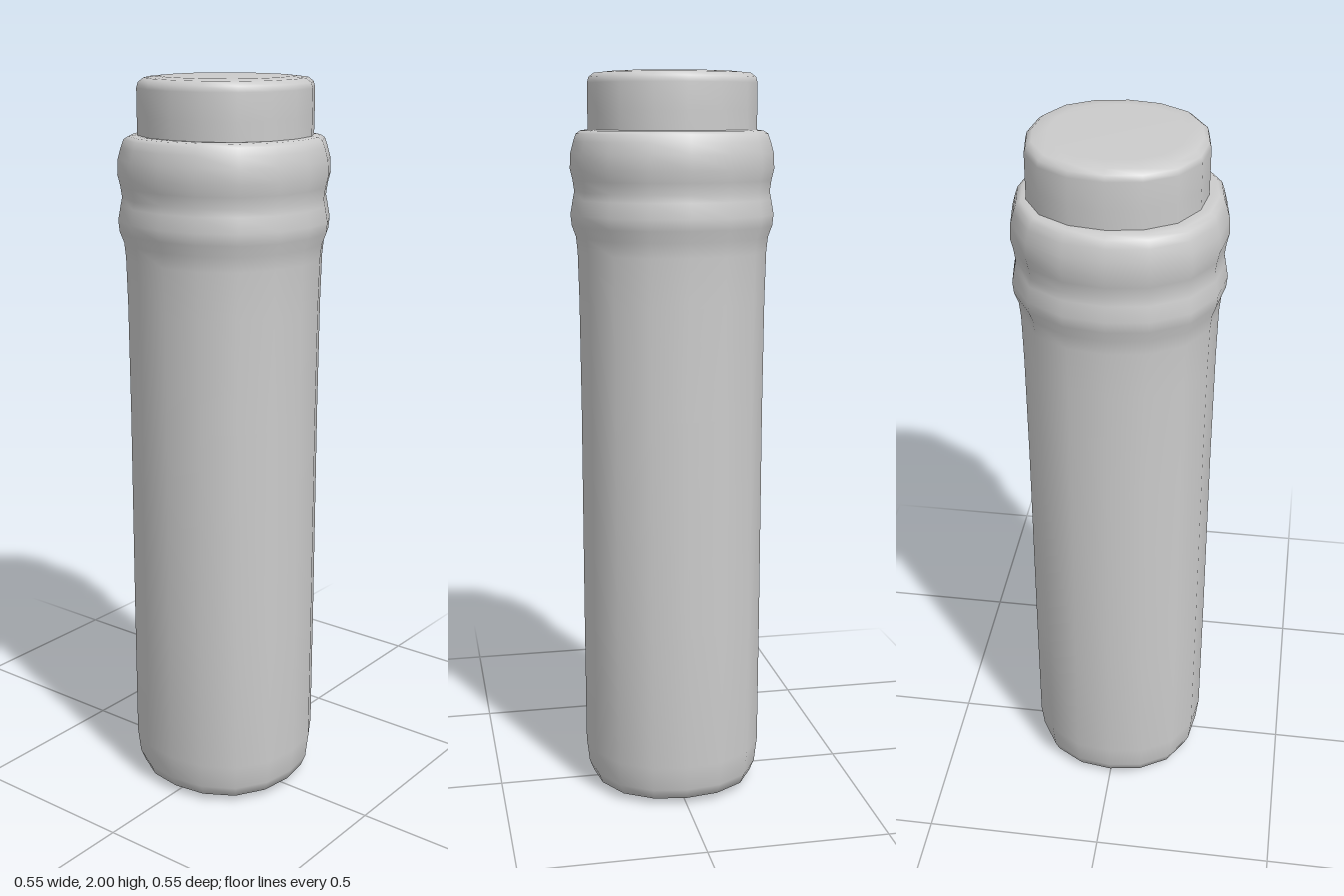
import * as THREE from 'three';
import { mergeVertices } from 'three/addons/utils/BufferGeometryUtils.js';

const SIDES = 16;

// Lathe a [radius, y] profile, swell the diagonals slightly, and smooth across the seam
function turned(name, profile, material) {
  let geo = new THREE.LatheGeometry(profile.map(([r, y]) => new THREE.Vector2(r, y)), SIDES);
  const pos = geo.attributes.position;
  for (let i = 0; i < pos.count; i++) {
    const x = pos.getX(i), z = pos.getZ(i);
    const s = 1 + 0.04 * Math.sin(2 * Math.atan2(z, x)) ** 2;
    pos.setX(i, x * s);
    pos.setZ(i, z * s);
  }
  geo.deleteAttribute('uv');
  geo.deleteAttribute('normal');
  geo = mergeVertices(geo, 1e-5);
  geo.computeVertexNormals();
  const mesh = new THREE.Mesh(geo, material);
  mesh.name = name;
  return mesh;
}

export function createModel() {
  const group = new THREE.Group();
  group.name = 'tube';
  const grey = new THREE.MeshStandardMaterial({ color: 0xcccccc });

  // Long body with rounded foot, two swollen rings at the neck and a flat shoulder
  group.add(turned('body', [
    [0, 0], [0.11, 0.003], [0.2, 0.01], [0.23, 0.02], [0.242, 0.05], [0.25, 0.12],
    [0.251, 0.5], [0.251, 1.1], [0.253, 1.4], [0.256, 1.53], [0.26, 1.57],
    [0.271, 1.6], [0.274, 1.63], [0.267, 1.67], [0.263, 1.69], [0.267, 1.72],
    [0.274, 1.75], [0.272, 1.79], [0.264, 1.82], [0.257, 1.84], [0.245, 1.848],
    [0.23, 1.85], [0.2, 1.85], [0, 1.85],
  ], grey));

  // Plug seated in the neck, a touch off centre
  const plug = turned('plug', [
    [0.225, 1.8], [0.226, 1.9], [0.226, 1.97], [0.222, 1.985], [0.208, 1.996],
    [0.17, 2], [0, 2],
  ], grey);
  plug.position.x = 0.006;
  group.add(plug);

  return group;
}
